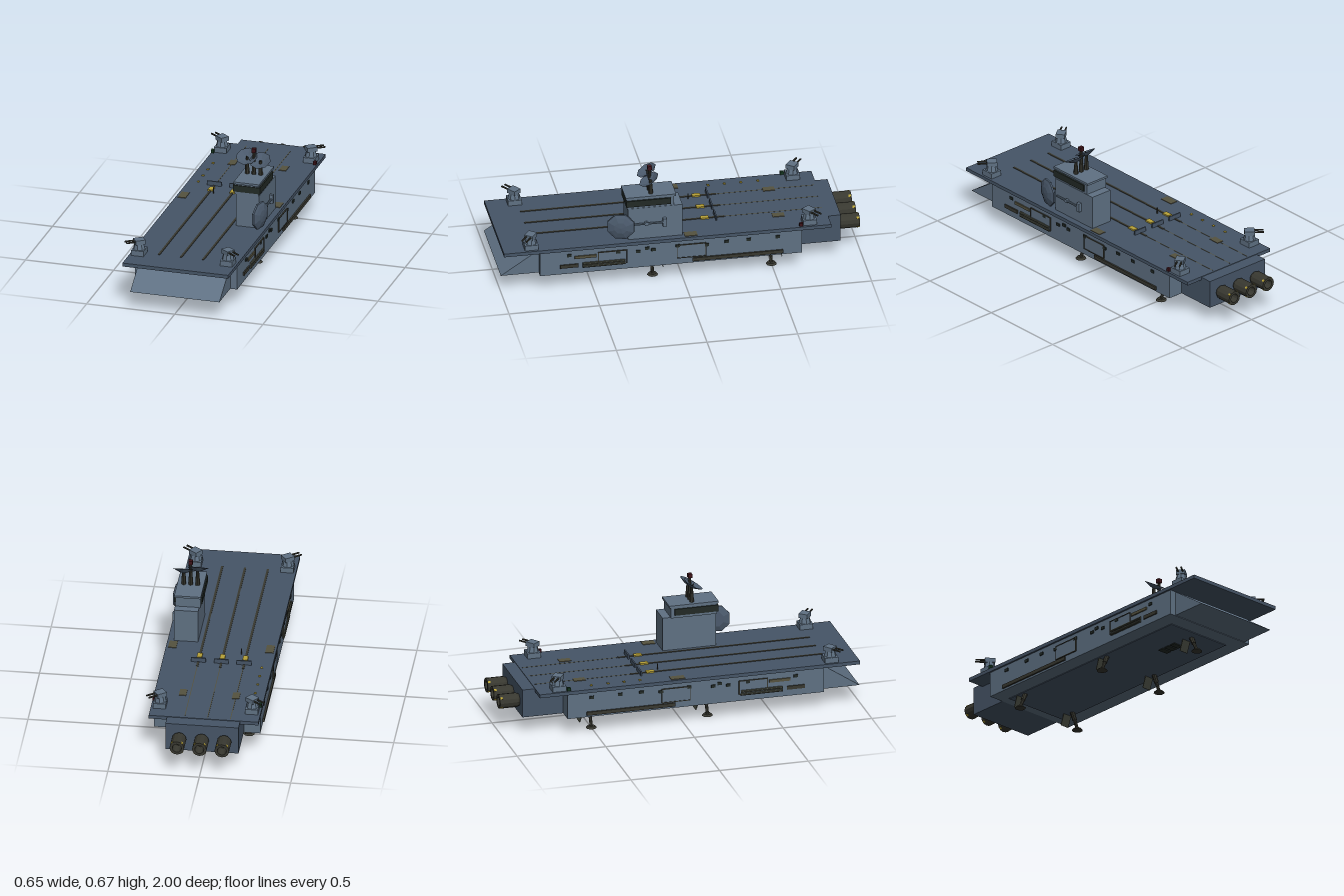
import * as THREE from 'three';

const mat = (color, side = THREE.FrontSide) => new THREE.MeshStandardMaterial({ color, flatShading: true, side });

export function createModel() {
  const model = new THREE.Group();
  const hullMat = mat(0x5f7183), deckMat = mat(0x465567), dark = mat(0x383830), olive = mat(0x45483e);
  const black = mat(0x222a26), yellow = mat(0xb8a238), red = mat(0x3c1218), green = mat(0x14351f);
  const brown = mat(0x55523f), dishMat = mat(0x4b5a6c, THREE.DoubleSide);

  const add = (name, geo, m, x, y, z, parent = model) => {
    const mesh = new THREE.Mesh(geo, m);
    mesh.name = name;
    mesh.position.set(x, y, z);
    parent.add(mesh);
    return mesh;
  };
  const box = (name, m, w, h, d, x, y, z, parent) =>
    add(name, new THREE.BoxGeometry(w, h, d), m, x, y, z, parent);
  // Box given by its limits
  const span = (name, m, x0, x1, y0, y1, z0, z1) =>
    box(name, m, x1 - x0, y1 - y0, z1 - z0, (x0 + x1) / 2, (y0 + y1) / 2, (z0 + z1) / 2);
  const cyl = (name, m, rTop, rBottom, h, x, y, z, sides = 8, parent) =>
    add(name, new THREE.CylinderGeometry(rTop, rBottom, h, sides), m, x, y, z, parent);
  // Cylinder between two points
  const strut = (name, m, r, a, b, parent) => {
    const p = new THREE.Vector3(...a), q = new THREE.Vector3(...b), dir = q.clone().sub(p);
    const mesh = cyl(name, m, r, r, dir.length(), 0, 0, 0, 8, parent);
    mesh.position.copy(p).add(q).multiplyScalar(0.5);
    mesh.quaternion.setFromUnitVectors(new THREE.Vector3(0, 1, 0), dir.normalize());
    return mesh;
  };

  // Hull, flight deck and stern block
  span('hull', hullMat, -0.29, 0.29, 0.097, 0.24, -0.655, 0.79);
  span('flightDeck', deckMat, -0.3, 0.3, 0.24, 0.26, -0.815, 0.99);
  span('sternBlock', deckMat, -0.2, 0.2, 0.097, 0.257, -0.885, -0.655);
  span('bellyPlate', deckMat, -0.2, 0.2, 0.093, 0.097, -0.6, 0.7);

  // Sloping bow ramp
  const ramp = new THREE.Shape([[0, 0], [0.21, 0], [0, 0.14]].map(p => new THREE.Vector2(...p)));
  const rampGeo = new THREE.ExtrudeGeometry(ramp, { depth: 0.506, bevelEnabled: false });
  add('bowRamp', rampGeo, hullMat, 0.253, 0.1, 0.79).rotation.y = -Math.PI / 2;
  model.getObjectByName('bowRamp').position.x = 0.253;

  // Engines with hollow nozzles
  const nozzle = [[0, 0], [0.032, 0], [0.04, 0.015], [0.04, 0.115], [0.025, 0.115], [0.02, 0.05], [0, 0.05]]
    .map(p => new THREE.Vector2(...p));
  for (const x of [-0.123, 0, 0.123]) {
    const engine = new THREE.Group();
    engine.name = 'engine';
    engine.position.set(x, 0.173, -0.884);
    engine.rotation.x = -Math.PI / 2;
    model.add(engine);
    add('nozzle', new THREE.LatheGeometry(nozzle, 12), mat(0x383830, THREE.DoubleSide), 0, 0, 0, engine);
    for (let i = 0; i < 4; i++) {
      const a = Math.PI / 4 + i * Math.PI / 2;
      const tab = box('nozzleTab', yellow, 0.012, 0.014, 0.008, Math.sin(a) * 0.037, 0.105, Math.cos(a) * 0.037, engine);
      tab.rotation.y = a;
    }
  }

  // Launch rails, blast shields and shuttles
  for (const x of [-0.145, -0.02, 0.105]) {
    span('launchRail', dark, x - 0.006, x + 0.006, 0.258, 0.263, -0.26, 0.82);
    span('railGroove', brown, x - 0.002, x + 0.002, 0.258, 0.261, -0.8, -0.26);
    box('blastShield', deckMat, 0.08, 0.026, 0.008, x, 0.272, -0.21);
    box('launchShuttle', yellow, 0.028, 0.008, 0.045, x, 0.264, -0.15);
  }
  cyl('deckAntenna', dark, 0.003, 0.003, 0.034, -0.117, 0.277, -0.1, 6);

  // Deck hatches and lamps
  for (const [x, z, w, d] of [[-0.145, -0.55, 0.04, 0.065], [0.145, -0.55, 0.04, 0.065],
    [-0.265, -0.03, 0.045, 0.08], [0.265, -0.045, 0.045, 0.07]])
    box('deckHatch', brown, w, 0.004, d, x, 0.261, z);
  for (const z of [-0.51, -0.415, -0.325, -0.235]) box('deckLamp', yellow, 0.012, 0.006, 0.012, -0.245, 0.262, z);
  box('portLight', green, 0.016, 0.018, 0.02, -0.29, 0.272, -0.65);
  box('starboardLight', red, 0.016, 0.018, 0.02, 0.29, 0.272, -0.65);

  // Corner gun turrets, twin barrels pointing outwards
  for (const sx of [-1, 1]) for (const [z, sz] of [[0.835, 1], [-0.7, -1]]) {
    const turret = new THREE.Group();
    turret.name = 'gunTurret';
    turret.position.set(sx * 0.252, 0.26, z);
    model.add(turret);
    box('turretBase', hullMat, 0.07, 0.03, 0.075, 0, 0.015, 0, turret);
    cyl('turretNeck', hullMat, 0.026, 0.034, 0.032, 0, 0.046, 0, 8, turret);
    const head = new THREE.Group();
    head.name = 'turretHead';
    head.position.y = 0.073;
    head.rotation.y = Math.atan2(sx * 0.8, sz * 0.6);
    turret.add(head);
    box('turretHousing', hullMat, 0.05, 0.025, 0.056, 0, 0, 0, head);
    for (const bx of [-0.013, 0.013]) strut('barrel', dark, 0.005, [bx, 0.003, 0.02], [bx, 0.003, 0.078], head);
  }

  // Control tower and bridge
  span('tower', hullMat, 0.133, 0.265, 0.255, 0.45, 0, 0.3);
  span('bridge', hullMat, 0.125, 0.263, 0.447, 0.51, 0.045, 0.305);
  span('bridgeWindows', black, 0.118, 0.272, 0.463, 0.5, 0.065, 0.31);
  span('bridgeRoof', hullMat, 0.123, 0.268, 0.508, 0.52, 0.035, 0.313);

  // Roof masts, dishes and beacon
  const bowl = [[0, -0.024], [0.025, -0.017], [0.06, 0]].map(p => new THREE.Vector2(...p));
  for (const [x, top] of [[0.157, 0.613], [0.195, 0.642], [0.233, 0.6]]) {
    cyl('mastFoot', dark, 0.011, 0.013, 0.05, x, 0.543, 0.17);
    cyl('mast', dark, 0.008, 0.01, top - 0.56, x, (top + 0.56) / 2, 0.17);
  }
  for (const [x, y] of [[0.157, 0.622], [0.233, 0.607]]) {
    const dish = add('roofDish', new THREE.LatheGeometry(bowl, 8), dishMat, x, y, 0.18);
    dish.rotation.set(Math.PI / 6, 0, 0);
    cyl('dishFeed', dark, 0.003, 0.003, 0.024, 0, -0.01, 0, 6, dish);
  }
  box('beacon', red, 0.023, 0.023, 0.023, 0.195, 0.658, 0.17);

  // Side radar dish and feed arm
  const radar = [[0, -0.012], [0.045, -0.012], [0.08, 0], [0.078, 0.009], [0.062, 0.016], [0.035, 0.024], [0, 0.027]]
    .map(p => new THREE.Vector2(...p));
  const holder = new THREE.Group();
  holder.name = 'radarDish';
  holder.position.set(0.278, 0.355, 0.342);
  holder.rotation.y = -0.25;
  model.add(holder);
  add('radarBowl', new THREE.LatheGeometry(radar, 8, Math.PI / 8), dishMat, 0, 0, 0, holder).rotation.z = -Math.PI / 2;
  strut('radarArm', hullMat, 0.006, [0.274, 0.355, 0.28], [0.274, 0.355, 0.1]);
  box('radarArmEnd', hullMat, 0.024, 0.05, 0.02, 0.272, 0.355, 0.1);
  cyl('radarArmJoint', hullMat, 0.012, 0.012, 0.022, 0.27, 0.355, 0.2).rotation.z = Math.PI / 2;

  // Fittings on both hull sides
  for (const s of [-1, 1]) {
    const x = s * 0.291;
    for (const z of [0.39, -0.045]) {
      box('sideDoor', hullMat, 0.006, 0.076, 0.155, x, 0.174, z);
      for (const e of [-1, 1]) {
        box('doorFrame', dark, 0.012, 0.004, 0.16, x, 0.174 + e * 0.039, z);
        box('doorFrame', dark, 0.012, 0.08, 0.004, x, 0.174, z + e * 0.079);
      }
    }
    for (const y of [0.135, 0.152]) strut('sidePipe', olive, 0.008, [s * 0.293, y, 0.32], [s * 0.293, y, 0.555]);
    box('sideVent', brown, 0.012, 0.016, 0.12, x, 0.195, 0.54);
    box('sideVent', dark, 0.012, 0.02, 0.1, x, 0.145, 0.63);
    box('sideRail', dark, 0.016, 0.02, 0.5, x, 0.118, -0.3);
    for (const [z, y] of [[0.63, 0.21], [0.36, 0.205], [0.25, 0.197], [0.2, 0.212], [0.165, 0.2], [0.03, 0.21],
      [-0.13, 0.2], [-0.24, 0.21], [-0.36, 0.21], [-0.52, 0.21]])
      box('porthole', black, 0.01, 0.016, 0.024, x, y, z);
  }

  // Landing legs with their open bay doors
  const leg = (footX, topX, footZ, topZ) => {
    const g = new THREE.Group();
    g.name = 'landingLeg';
    model.add(g);
    cyl('foot', dark, 0.021, 0.03, 0.01, footX, 0.005, footZ, 10, g);
    strut('legStrut', dark, 0.009, [footX, 0.008, footZ], [topX, 0.1, topZ], g);
    strut('legSleeve', dark, 0.013, [(footX + topX) / 2, 0.054, (footZ + topZ) / 2], [topX, 0.1, topZ], g);
    box('bayDoor', olive, 0.053, 0.068, 0.004, topX, 0.064, topZ - 0.05, g).rotation.x = 0.35;
  };
  leg(0, 0, 0.685, 0.64);
  for (const s of [-1, 1]) for (const z of [0.155, -0.5]) leg(s * 0.21, s * 0.172, z, z);

  // Belly vents
  for (const z of [0.43, 0.475, 0.52]) box('bellyVent', black, 0.06, 0.008, 0.035, 0, 0.092, z);

  return model;
}
